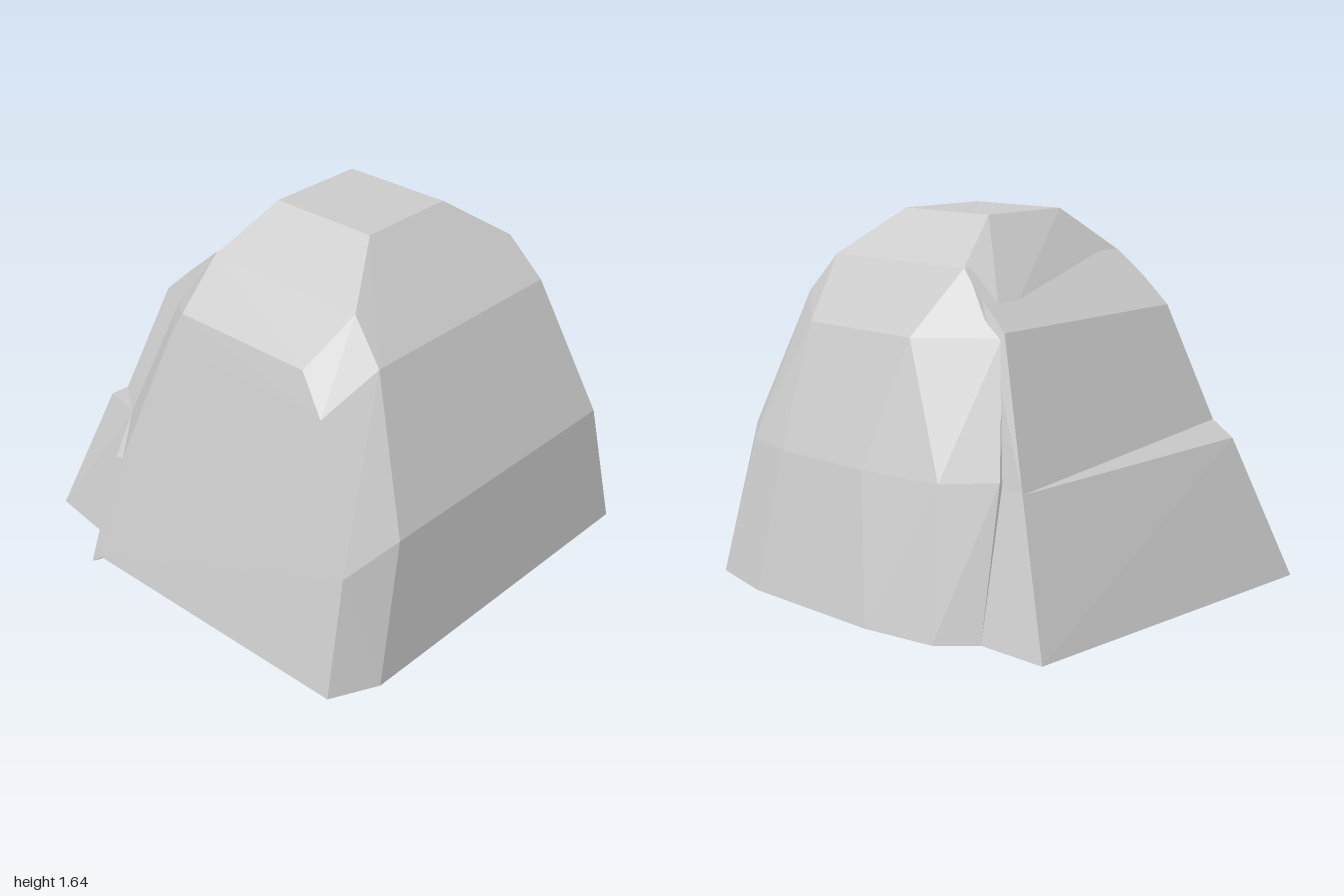
import * as THREE from 'three';
import { ConvexGeometry } from 'three/addons/geometries/ConvexGeometry.js';

const material = new THREE.MeshStandardMaterial({ color: 0xcccccc, flatShading: true });

// Faceted chunk of stone wrapped around its corner points
function chunk(name, corners) {
  const points = corners.map(([x, y, z]) => new THREE.Vector3(x, y, z));
  const mesh = new THREE.Mesh(new ConvexGeometry(points), material);
  mesh.name = name;
  return mesh;
}

// A corner repeated at the front and the back
const both = (x, y, z) => [[x, y, z], [x, y, -z]];

export function createModel() {
  const rock = new THREE.Group();
  rock.name = 'rock';

  // Main boulder
  rock.add(chunk('boulder', [
    // flat top and shoulders
    ...both(-0.1, 1.64, 0.225), ...both(0.4, 1.64, 0.225),
    ...both(-0.21, 1.45, 0.485), ...both(0.56, 1.45, 0.485),
    // left flank
    ...both(0.71, 1.28, 0.515), ...both(0.945, 0.67, 0.65), ...both(0.98, 0.06, 0.79),
    // front face
    [-0.17, 1.28, 0.715], [0.5, 1.28, 0.715], [0.63, 1.13, 0.755], [0.86, 0.57, 0.88],
    [0.88, 0.06, 0.99], [-0.5, 0.05, 0.99], [-0.42, 0.55, 0.88], [-0.23, 1.14, 0.75],
    // front right corner
    [-0.34, 1.22, 0.58], [-0.57, 0.64, 0.69], [-0.65, 0.03, 0.83],
    // back face
    [-0.1, 1.18, -0.685], [0.51, 1.18, -0.685], [0, 0.65, -0.87], [0.5, 0.65, -0.87],
    [-0.15, 0.05, -1], [0.53, 0.05, -1], [0.85, 0.05, -0.93], [0.76, 0.65, -0.81],
    // back right corner
    [-0.46, 0.04, -0.93], [-0.38, 0.65, -0.81], [-0.6, 0.04, -0.8],
    [-0.57, 0.66, -0.66], [-0.46, 1.2, -0.53],
  ]));

  // Slab leaning on the right flank
  rock.add(chunk('upperSlab', [
    ...both(-0.22, 1.45, 0.48), ...both(-0.34, 1.34, 0.515), ...both(-0.47, 1.22, 0.525),
    [-0.65, 0.71, 0.64], [-0.68, 0.63, -0.65], [-0.57, 0.64, 0.69], [-0.57, 0.64, -0.65],
    ...both(0, 1.2, 0.4), ...both(-0.3, 0.3, 0.5),
  ]));

  // Lower part of the slab, with a ledge that tapers towards the back
  rock.add(chunk('lowerSlab', [
    [-0.65, 0.71, 0.64], [-0.75, 0.64, 0.65], [-0.68, 0.63, -0.65],
    [-0.98, 0.02, 0.8], [-0.9, 0.03, -0.78], [-0.65, 0, 0.83], [-0.6, 0.04, -0.8],
    [-0.57, 0.64, 0.69], [-0.57, 0.64, -0.65], ...both(-0.3, 0.05, 0.5),
  ]));

  // Sharp fin on the front right corner
  rock.add(chunk('cornerFin', [
    [-0.57, 0.64, 0.69], [-0.65, 0, 0.83], [-0.55, 0, 0.995], [-0.475, 0.53, 0.87],
    [-0.42, 0.55, 0.875], [-0.48, 0.05, 0.98], [-0.4, 0.05, 0.8],
  ]));

  return rock;
}
